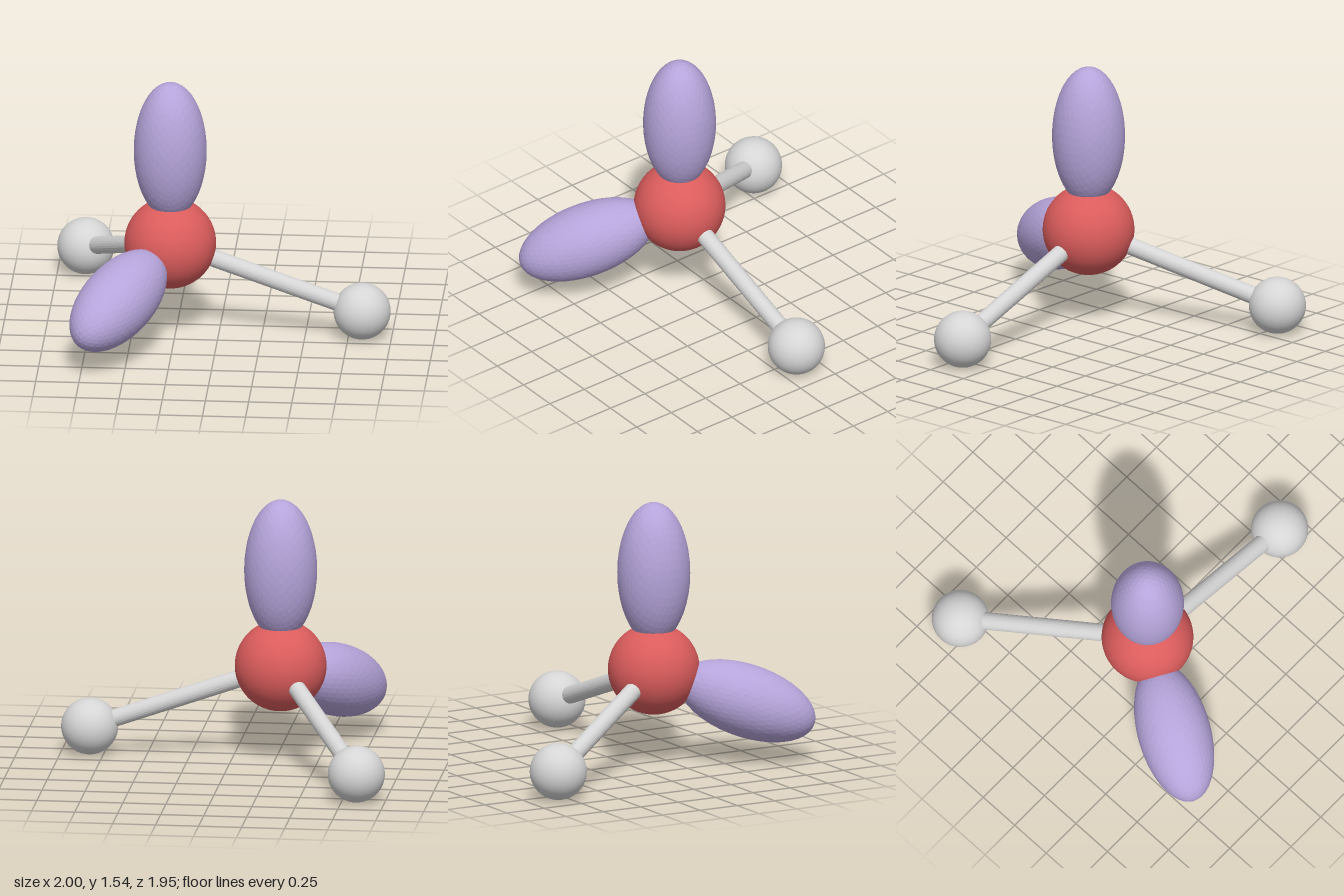
import * as THREE from 'three';

export function createModel() {
  const model = new THREE.Group();
  model.name = 'tetrahedralMolecule';

  const paint = (name, color) => {
    const m = new THREE.MeshStandardMaterial({ color, flatShading: true });
    m.name = name;
    return m;
  };
  const red = paint('red', 0xdb5c5c);
  const lavender = paint('lavender', 0xb5a4da);
  const lightGrey = paint('lightGrey', 0xd5d5d5);

  const center = new THREE.Vector3(-0.28, 0.565, 0.152);
  const up = new THREE.Vector3(0, 1, 0);
  const ball = new THREE.IcosahedronGeometry(1, 7);
  const fineBall = new THREE.IcosahedronGeometry(1, 15);

  // Tetrahedral direction below the horizon, at an angle around the vertical axis
  const lowered = (degrees) => {
    const a = THREE.MathUtils.degToRad(degrees);
    const r = Math.sqrt(8) / 3;
    return new THREE.Vector3(r * Math.cos(a), -1 / 3, r * Math.sin(a));
  };

  // Mesh placed along a direction from the central atom, with its y axis on that direction
  const addAlong = (name, geometry, material, dir, distance, scale) => {
    const mesh = new THREE.Mesh(geometry, material);
    mesh.name = name;
    mesh.position.copy(center).addScaledVector(dir, distance);
    mesh.quaternion.setFromUnitVectors(up, dir);
    mesh.scale.set(...scale);
    model.add(mesh);
  };

  // Central atom
  addAlong('centralAtom', fineBall, red, up, 0, [0.265, 0.265, 0.265]);

  // Two bonded outer atoms with their rods
  const reach = 1.178;
  const rod = new THREE.CylinderGeometry(0.051, 0.051, reach, 24);
  [['left', 0], ['right', 240]].forEach(([side, degrees]) => {
    const dir = lowered(degrees);
    addAlong(side + 'Bond', rod, lightGrey, dir, reach / 2, [1, 1, 1]);
    addAlong(side + 'Atom', fineBall, lightGrey, dir, reach, [0.165, 0.165, 0.165]);
  });

  // Two ellipsoid lobes
  [['upperLobe', up], ['frontLobe', lowered(120)]].forEach(([name, dir]) => {
    addAlong(name, ball, lavender, dir, 0.57, [0.211, 0.415, 0.211]);
  });

  return model;
}
